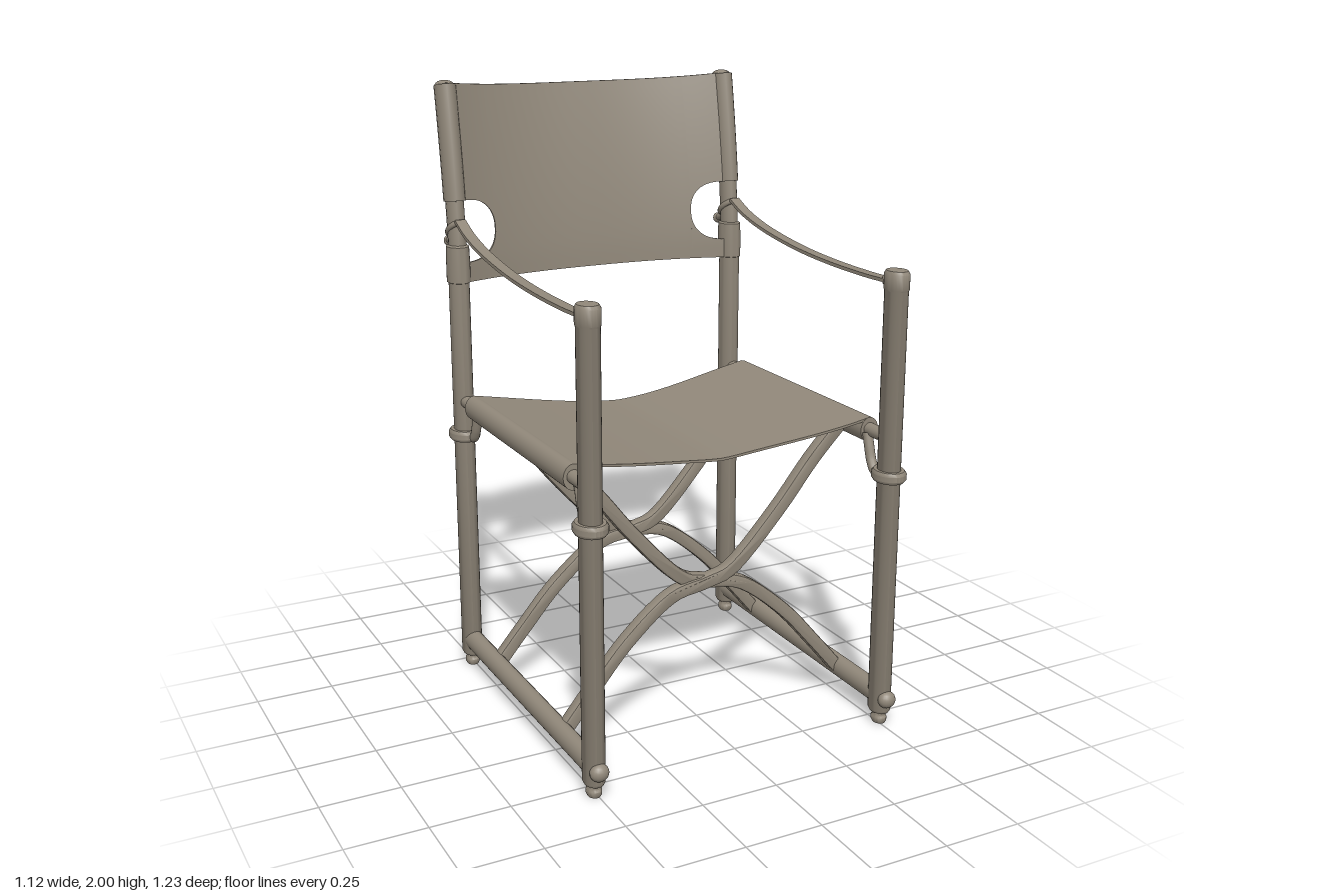
import * as THREE from 'three';
import { toCreasedNormals } from 'three/addons/utils/BufferGeometryUtils.js';

const POST_X = 0.507, FRONT_Z = 0.55, BACK_Z = -0.46;
const V = (x, y, z) => new THREE.Vector3(x, y, z);

export function createModel() {
  const chair = new THREE.Group();
  chair.name = 'foldingChair';
  const taupe = new THREE.MeshStandardMaterial({ color: 0x91887a });
  taupe.name = 'taupe';

  const add = (name, geometry, x = 0, y = 0, z = 0) => {
    const mesh = new THREE.Mesh(geometry, taupe);
    mesh.name = name;
    mesh.position.set(x, y, z);
    chair.add(mesh);
    return mesh;
  };

  // Turned part with an oval section, from [radius, height] pairs
  const turned = (profile, squash = 0.8) => {
    const g = new THREE.LatheGeometry(profile.map(p => new THREE.Vector2(...p)), 28);
    return toCreasedNormals(g.scale(squash, 1, 1), 0.7);
  };

  const tube = (points, radius, segments = 24) =>
    new THREE.TubeGeometry(new THREE.CatmullRomCurve3(points), segments, radius, 14);

  const ball = (rx, ry, rz) => new THREE.SphereGeometry(1, 18, 12).scale(rx, ry, rz);

  // Flat band following a planar curve, extruded to a depth and bent sideways at its middle
  const ribbon = (points, thickness, depth, bevel, bend = 0) => {
    const curve = new THREE.SplineCurve(points.map(p => new THREE.Vector2(...p)));
    const upper = [], lower = [];
    for (let i = 0; i <= 40; i++) {
      const p = curve.getPoint(i / 40), t = curve.getTangent(i / 40);
      const n = new THREE.Vector2(-t.y, t.x).multiplyScalar(thickness / 2 - bevel);
      upper.push(p.clone().add(n));
      lower.unshift(p.clone().sub(n));
    }
    lower.reverse();
    upper.reverse();
    const g = new THREE.ExtrudeGeometry(new THREE.Shape([...lower, ...upper]), {
      depth: depth - 2 * bevel, bevelEnabled: bevel > 0, bevelSize: bevel,
      bevelThickness: bevel, bevelSegments: 2,
    });
    g.translate(0, 0, -depth / 2 + bevel);
    const pos = g.attributes.position;
    for (let i = 0; i < pos.count; i++) {
      pos.setZ(i, pos.getZ(i) + bend * (1 - Math.abs(pos.getX(i)) / 0.5));
    }
    return toCreasedNormals(g, 0.6);
  };

  // Thin cloth from a rule (u, v) -> point, thickened along a vector
  const sheet = (rule, nu, nv, thick) => {
    const g = new THREE.BoxGeometry(1, 1, 1, nu, nv, 1);
    const pos = g.attributes.position;
    for (let i = 0; i < pos.count; i++) {
      const p = rule(pos.getX(i) + 0.5, pos.getY(i) + 0.5).addScaledVector(thick, pos.getZ(i));
      pos.setXYZ(i, p.x, p.y, p.z);
    }
    g.computeVertexNormals();
    return g;
  };

  const foot = [[0, 0], [0.024, 0], [0.029, 0.008], [0.029, 0.02], [0.024, 0.026], [0.024, 0.038], [0.036, 0.04], [0.042, 0.05]];
  const collar = [[0.04, -0.018], [0.054, -0.018], [0.062, -0.008], [0.062, 0.008], [0.054, 0.018], [0.04, 0.018]];

  // Centre line of the back post, leaning backwards above the arm straps
  const leanZ = y => BACK_Z - 0.072 * Math.pow(Math.max(0, (y - 1.4) / 0.6), 1.5);
  const leanPath = (y0, y1) => Array.from({ length: 7 }, (_, i) => {
    const y = y0 + (y1 - y0) * i / 6;
    return V(0, y, leanZ(y));
  });

  for (const s of [-1, 1]) {
    const x = s * POST_X;

    // Posts
    add('frontPost', turned([...foot, [0.042, 1.42], [0.045, 1.425], [0.045, 1.472], [0.038, 1.482], [0, 1.484]]), x, 0, FRONT_Z);
    add('backPost', turned([...foot, [0.041, 1.4], [0, 1.4]]), x, 0, BACK_Z);
    add('backPostTop', tube(leanPath(1.38, 1.985), 0.036).scale(0.8, 1, 1), x);
    add('backPostCap', ball(0.031, 0.018, 0.039), x, 1.982, leanZ(1.985));

    // Cloth sleeves of the backrest, with the seam end tucked behind at the top
    add('upperSleeve', tube(leanPath(1.62, 1.985), 0.043).scale(0.8, 1, 1), x);
    add('lowerSleeve', turned([[0.04, 1.355], [0.047, 1.358], [0.047, 1.42], [0.045, 1.475], [0.036, 1.48]]), x, 0, BACK_Z - 0.002);
    add('sleeveSeam', tube([V(0, 1.965, -0.555), V(-s * 0.03, 1.965, -0.566), V(-s * 0.06, 1.965, -0.562)], 0.01), x);

    // Bottom rail with end knob
    add('bottomRail', new THREE.CylinderGeometry(0.036, 0.036, 1.01, 24).scale(0.85, 1, 1).rotateX(Math.PI / 2), x, 0.095, 0.045);
    add('railKnob', ball(0.03, 0.028, 0.025), x, 0.092, 0.59);

    // Seat rail: thin rod inside a cloth sleeve
    add('seatRod', new THREE.CylinderGeometry(0.021, 0.021, 0.96, 18).rotateX(Math.PI / 2), x, 0.957, 0.045);
    add('seatSleeve', new THREE.CylinderGeometry(0.04, 0.04, 0.796, 24).scale(0.8, 1, 1).rotateX(Math.PI / 2), x, 0.955, 0.04);

    // Sliding collars and hooks that join the seat rail to the posts
    for (const [postZ, dir] of [[FRONT_Z, 1], [BACK_Z, -1]]) {
      add('collar', turned(collar, 0.82), x, 0.84, postZ);
      add('hook', tube([
        V(0, 0.95, postZ - dir * 0.105), V(0, 0.91, postZ - dir * 0.093), V(0, 0.865, postZ - dir * 0.078),
        V(0, 0.838, postZ - dir * 0.058), V(0, 0.838, postZ - dir * 0.02),
      ], 0.016), x - s * 0.012);
    }

    // Arm strap
    const strap = [[0.53, 1.445], [0.4, 1.442], [0.2, 1.446], [0, 1.46], [-0.2, 1.488], [-0.34, 1.522], [-0.43, 1.56]];
    add('armStrap', ribbon(strap, 0.011, 0.036, 0).rotateY(-Math.PI / 2), x);
    add('strapStud', ball(0.018, 0.022, 0.016), x, 1.445, 0.503);

    // Strap loop around the back post, with a short peg behind
    const loop = add('strapLoop', new THREE.TorusGeometry(0.042, 0.01, 10, 28).scale(0.66, 1.05, 1).rotateX(Math.PI / 2), x, 1.53, BACK_Z - 0.01);
    loop.rotation.x = -0.6;
    add('strapPeg', tube([V(0, 1.5, -0.495), V(0, 1.487, -0.525), V(0, 1.48, -0.548)], 0.012), x);
    add('pegTip', ball(0.016, 0.018, 0.014), x, 1.48, -0.547);
  }

  // Crossed S-shaped braces
  const brace = [[-0.5, 0.09], [-0.4, 0.21], [-0.28, 0.345], [-0.13, 0.463], [0, 0.492], [0.1, 0.53], [0.254, 0.69], [0.38, 0.845], [0.495, 0.965]];
  for (const [z, bend] of [[0.31, -0.014], [-0.232, 0.008]]) {
    for (const s of [-1, 1]) {
      const path = s > 0 ? brace : brace.map(([px, py]) => [-px, py]).reverse();
      add('crossBrace', ribbon(path, 0.044, 0.042, 0.008, bend + s * 0.005), 0, 0, z);
    }
  }

  // Sagging seat cloth, drawn in at the front and back
  add('seat', sheet((u, v) => {
    const x = (u * 2 - 1) * POST_X, a = Math.abs(u * 2 - 1);
    const inset = 0.037 * (1 - THREE.MathUtils.smoothstep(a, 0.15, 0.95));
    const y = 0.921 + 0.07 * Math.pow(a, 1.35);
    return V(x, y, THREE.MathUtils.lerp(0.437 - inset, -0.36 + inset, v));
  }, 40, 8, V(0, 0.008, 0)));

  // Backrest cloth: bowed backwards from the front of the posts, with a rounded notch on each side
  const PANEL_X = 0.515, NOTCH_X = 0.365, NOTCH_Y = 1.522;
  const clothDepth = V(0, 0, 0.008);
  const panelTop = x => 1.972 + 0.022 * Math.pow(Math.abs(x) / PANEL_X, 3);
  const onPanel = (x, y) => {
    const bow = THREE.MathUtils.lerp(0.085, 0.12, (y - 1.355) / 0.62);
    return V(x, y, leanZ(y) + 0.032 - bow * (1 - Math.pow(Math.abs(x) / PANEL_X, 2.4)));
  };
  const notch = x => {
    const t = Math.min(1, Math.max(0, (0.475 - Math.abs(x)) / (0.475 - NOTCH_X)));
    return 0.1 * Math.pow(1 - Math.pow(t, 2.3), 1 / 2.3);
  };
  add('backrest', sheet((u, v) => {
    const x = (u * 2 - 1) * NOTCH_X;
    return onPanel(x, THREE.MathUtils.lerp(1.357, panelTop(x), v));
  }, 30, 20, clothDepth));
  for (const s of [-1, 1]) {
    const earX = u => {
      const t = s > 0 ? u : 1 - u;
      return s * (NOTCH_X + (PANEL_X - NOTCH_X) * t * t);
    };
    add('backrestUpperSide', sheet((u, v) => {
      const x = earX(u);
      return onPanel(x, THREE.MathUtils.lerp(NOTCH_Y + notch(x), panelTop(x), v));
    }, 16, 16, clothDepth));
    add('backrestLowerSide', sheet((u, v) => {
      const x = earX(u);
      return onPanel(x, THREE.MathUtils.lerp(1.357, NOTCH_Y - notch(x), v));
    }, 16, 6, clothDepth));
  }

  return chair;
}
